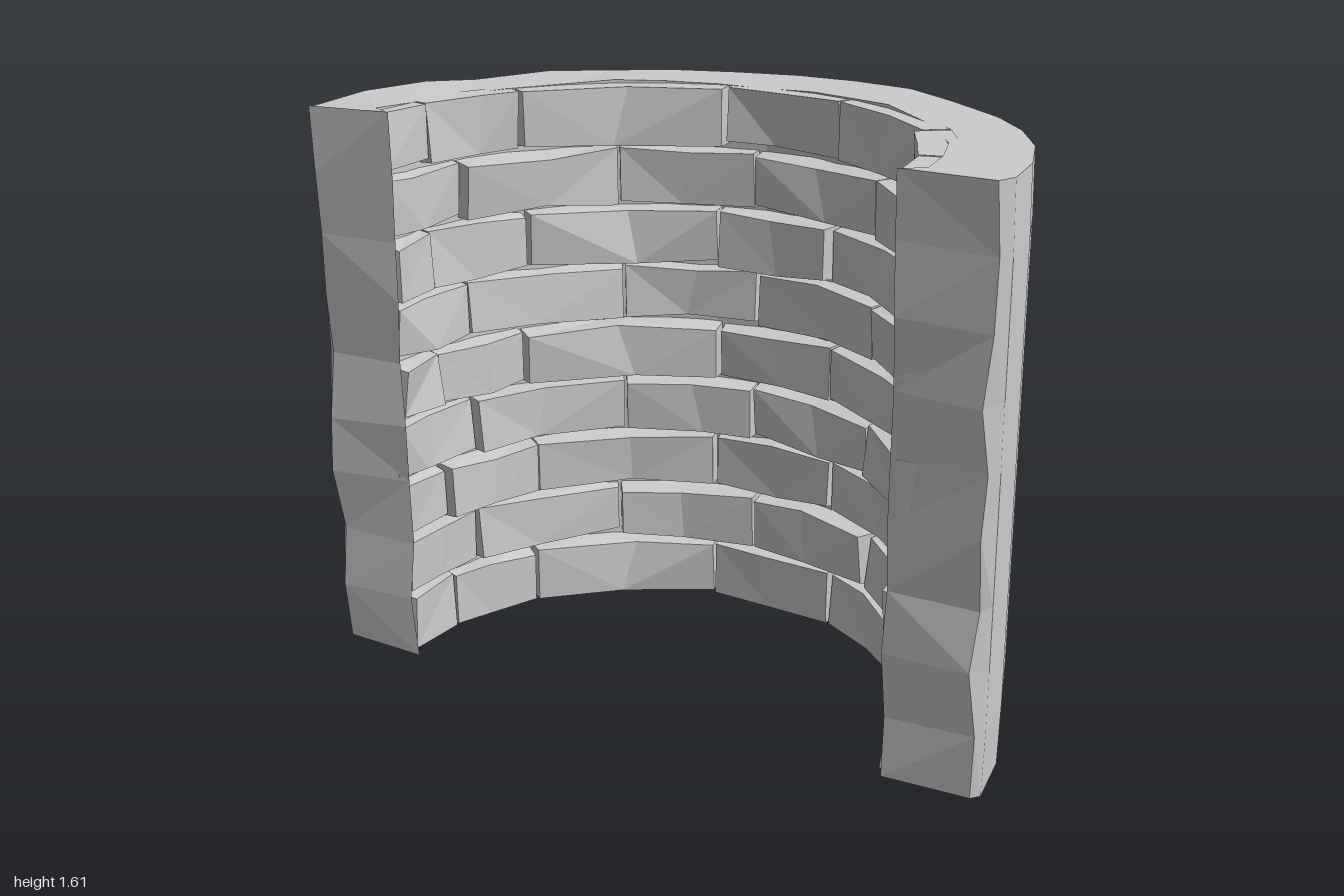
import * as THREE from 'three';

const CENTRE_Z = 0.47;
const COURSES = 9, Y0 = 0.02, COURSE_H = 1.6 / COURSES;

// Seeded jitter in the range -1..1
let seed = 11;
function jitter(amount) {
  seed = (seed * 16807) % 2147483647;
  return (seed / 2147483647 * 2 - 1) * amount;
}

// Curved block: point(i, level, inner) returns [radius, angle, y]
function curvedBlock(columns, levels, point) {
  const positions = [], index = [], size = columns * 2;
  const add = (i, l, inner) => {
    const [r, a, y] = point(i, l, inner);
    positions.push(r * Math.cos(a), y, CENTRE_Z - r * Math.sin(a));
  };
  for (let l = 0; l < levels; l++) {
    for (let i = 0; i < columns; i++) add(i, l, false);
    for (let i = columns - 1; i >= 0; i--) add(i, l, true);
  }
  const quad = (a, b, c, d, flip) => {
    if (flip) index.push(a, b, d, b, c, d);
    else index.push(a, b, c, a, c, d);
  };
  // Sides, all the way round the outline
  for (let l = 0; l < levels - 1; l++) {
    for (let k = 0; k < size; k++) {
      const n = (k + 1) % size, p = l * size, q = p + size;
      quad(p + k, p + n, q + n, q + k, (k + l) % 3 === 0);
    }
  }
  // Top and bottom
  const top = (levels - 1) * size;
  for (let i = 0; i < columns - 1; i++) {
    const j = size - 1 - i;
    quad(top + i, top + i + 1, top + j - 1, top + j);
    quad(j, j - 1, i + 1, i);
  }
  const geometry = new THREE.BufferGeometry();
  geometry.setAttribute('position', new THREE.Float32BufferAttribute(positions, 3));
  geometry.setIndex(index);
  const flat = geometry.toNonIndexed();
  flat.computeVertexNormals();
  return flat;
}

export function createModel() {
  seed = 11;
  const group = new THREE.Group();
  const material = new THREE.MeshStandardMaterial({ color: 0xcccccc, flatShading: true });
  const addMesh = (name, geometry) => {
    const mesh = new THREE.Mesh(geometry, material);
    mesh.name = name;
    group.add(mesh);
  };

  // Half-round wall: smooth facets outside, rough end faces
  const angles = [-0.04];
  const N = 16;
  for (let i = 0; i <= N; i++) {
    angles.push(Math.PI * i / N + (i % N && i !== N / 2 ? jitter(0.03) : 0));
  }
  angles.push(Math.PI + 0.04);
  const last = angles.length - 1;
  const wall = curvedBlock(angles.length, COURSES + 1, (i, l, inner) => {
    const end = i === 0 || i === last;
    const rim = l === 0 || l === COURSES;
    const r = inner ? (end ? 0.73 + jitter(0.012) : 0.785)
      : (end ? 0.975 + jitter(0.01) : (rim ? 0.996 : 1));
    const a = angles[i] + (end ? jitter(0.016) : 0);
    const y = Y0 + l * COURSE_H + (rim ? jitter(0.007) : end ? jitter(0.012) : 0);
    return [r, a, y];
  });
  addMesh('wall', wall);

  // Inner stones, with the joints staggered on alternate courses
  const jointsX = [
    [0.72, 0.6, 0.26, -0.12, -0.6, -0.72],
    [0.72, 0.42, 0, -0.4, -0.69],
  ];
  for (let c = 0; c < COURSES; c++) {
    const joints = [
      -0.03 + jitter(0.02),
      ...jointsX[c % 2].map((x) => Math.acos(x / 0.735) + jitter(0.025)),
      Math.PI + 0.03 + jitter(0.02),
    ];
    const bottom = Y0 + c * COURSE_H, top = bottom + COURSE_H;
    for (let s = 0; s < joints.length - 1; s++) {
      const from = joints[s] + 0.006, to = joints[s + 1] - 0.006;
      const columns = to - from > 0.35 ? 3 : 2;
      const face = 0.738 + jitter(0.018);
      const stone = curvedBlock(columns, 2, (i, l, inner) => {
        const t = i / (columns - 1);
        const middle = columns === 3 && i === 1;
        const a = THREE.MathUtils.lerp(from, to, t) + (middle ? jitter(0.06) : 0);
        const r = inner ? face * (middle ? 0.98 : 1) + jitter(0.014) : 0.82;
        const inset = inner ? 0.014 + jitter(0.01) : 0.004;
        const open = (l === 0 && c === 0) || (l === 1 && c === COURSES - 1);
        const y = l === 0 ? bottom + (open ? 0.003 : inset) : top - (open ? 0.003 : inset);
        return [r, a, y];
      });
      addMesh('stone', stone);
    }
  }
  return group;
}
